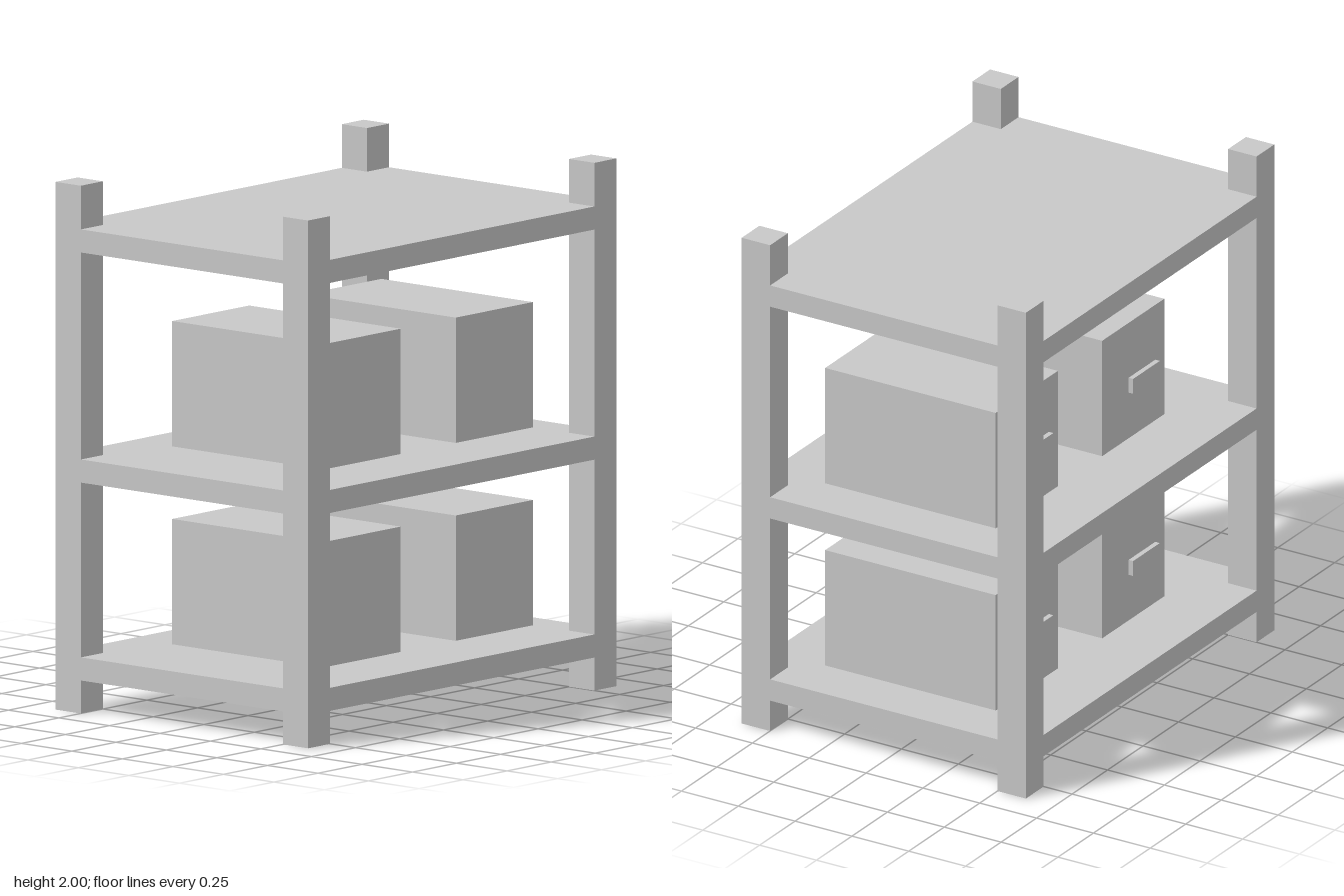
import * as THREE from 'three';

export function createModel() {
  const model = new THREE.Group();
  model.name = 'storageRack';
  const grey = new THREE.MeshStandardMaterial({ color: 0xc8c8c8 });
  grey.name = 'lightGrey';

  const W = 0.875, D = 0.625, POST = 0.125;

  const add = (name, geometry, x, y, z, parent = model) => {
    const mesh = new THREE.Mesh(geometry, grey);
    mesh.name = name;
    mesh.position.set(x, y, z);
    parent.add(mesh);
  };

  // Four corner posts
  const postGeo = new THREE.BoxGeometry(POST, 2, POST);
  for (const sx of [-1, 1])
    for (const sz of [-1, 1])
      add((sz > 0 ? 'front' : 'back') + (sx > 0 ? 'Left' : 'Right') + 'Post',
        postGeo, sx * (W - POST / 2), 1, sz * (D - POST / 2));

  // Shelf board, notched at the corners to fit around the posts
  const a = W - POST, b = D - POST;
  const outline = new THREE.Shape([
    [-a, -D], [a, -D], [a, -b], [W, -b], [W, b], [a, b],
    [a, D], [-a, D], [-a, b], [-W, b], [-W, -b], [-a, -b],
  ].map(([x, y]) => new THREE.Vector2(x, y)));
  const shelfGeo = new THREE.ExtrudeGeometry(outline, { depth: 0.0875, bevelEnabled: false });
  shelfGeo.rotateX(-Math.PI / 2);
  ['lowerShelf', 'middleShelf', 'topShelf'].forEach((name, i) =>
    add(name, shelfGeo, 0, [0.125, 0.875, 1.747][i], 0));

  // Storage boxes with a small handle on the back, two per shelf
  const boxGeo = new THREE.BoxGeometry(0.4375, 0.475, 0.75);
  const handleGeo = new THREE.BoxGeometry(0.1875, 0.0615, 0.02);
  for (const y of [0.464, 1.214])
    for (const x of [-0.2815, 0.4685]) {
      const box = new THREE.Group();
      box.name = 'storageBox';
      box.position.set(x, y, 0);
      add('boxBody', boxGeo, 0, 0, 0, box);
      add('boxHandle', handleGeo, -0.0615, -0.019, -0.385, box);
      model.add(box);
    }

  return model;
}
